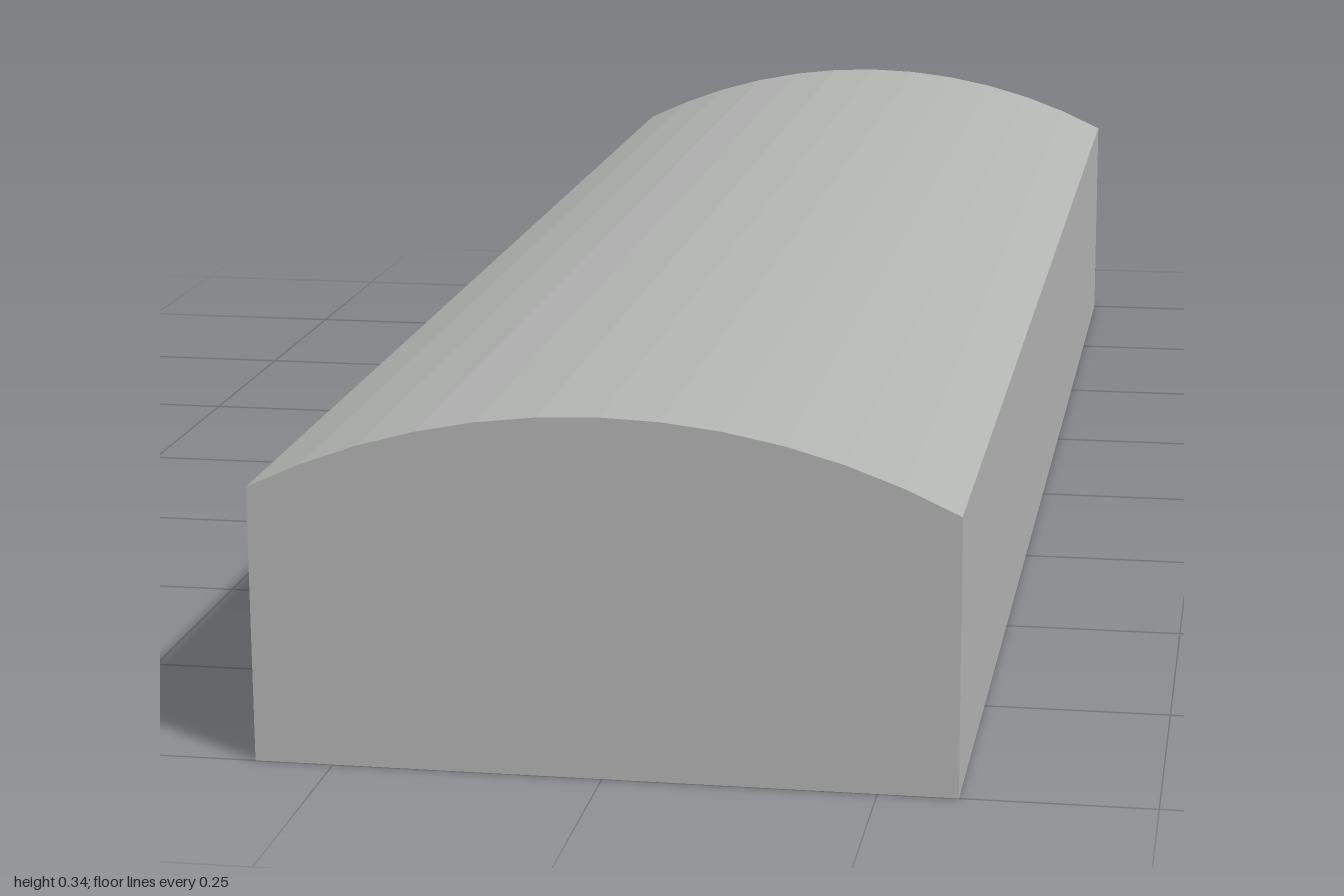
import * as THREE from 'three';

const HALF_WIDTH = 0.323, EAVE = 0.26, RIDGE = 0.337, LENGTH = 2, SEGMENTS = 12;

// circle through both eaves and the ridge
const RISE = RIDGE - EAVE;
const RADIUS = (HALF_WIDTH ** 2 + RISE ** 2) / (2 * RISE);
const HALF_ANGLE = Math.asin(HALF_WIDTH / RADIUS);

export function createModel() {
  const group = new THREE.Group();
  group.name = 'archedCover';
  const grey = new THREE.MeshStandardMaterial({ color: 0xb3b5b3, side: THREE.DoubleSide, flatShading: true });
  grey.name = 'grey';

  const add = (name, geometry) => {
    const mesh = new THREE.Mesh(geometry, grey);
    mesh.name = name;
    group.add(mesh);
    return mesh;
  };

  // curved roof: a faceted strip of a cylinder lying along z
  const roof = new THREE.CylinderGeometry(RADIUS, RADIUS, LENGTH, SEGMENTS, 1, true, -HALF_ANGLE, 2 * HALF_ANGLE);
  roof.rotateX(-Math.PI / 2);
  roof.translate(0, RIDGE - RADIUS, 0);
  add('roof', roof);

  // end panel outline, following the roof facets
  const outline = [new THREE.Vector2(-HALF_WIDTH, 0), new THREE.Vector2(HALF_WIDTH, 0)];
  for (let i = 0; i <= SEGMENTS; i++) {
    const a = HALF_ANGLE * (1 - (2 * i) / SEGMENTS);
    outline.push(new THREE.Vector2(RADIUS * Math.sin(a), RIDGE - RADIUS + RADIUS * Math.cos(a)));
  }
  const endPanel = new THREE.ShapeGeometry(new THREE.Shape(outline));
  const sideWall = new THREE.PlaneGeometry(LENGTH, EAVE);

  // mirrored side walls and end panels; the underside stays open
  for (const s of [1, -1]) {
    const wall = add(s > 0 ? 'leftWall' : 'rightWall', sideWall);
    wall.position.set(s * HALF_WIDTH, EAVE / 2, 0);
    wall.rotation.y = (s * Math.PI) / 2;

    const end = add(s > 0 ? 'frontPanel' : 'backPanel', endPanel);
    end.position.z = (s * LENGTH) / 2;
    end.rotation.y = s > 0 ? 0 : Math.PI;
  }
  return group;
}
